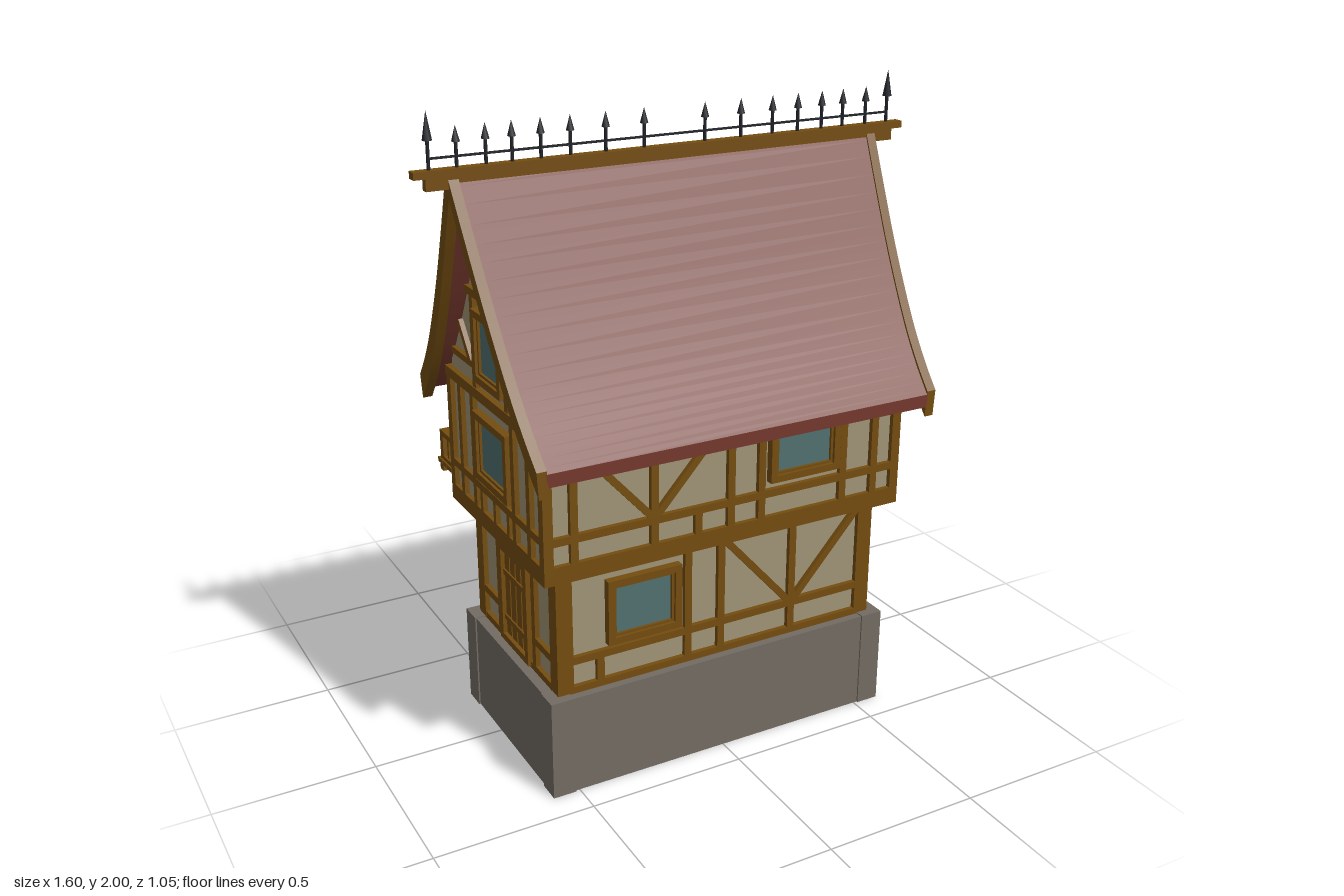
import * as THREE from 'three';
import { toCreasedNormals } from 'three/addons/utils/BufferGeometryUtils.js';

const mat = (name, color) => {
  const m = new THREE.MeshStandardMaterial({ color });
  m.name = name;
  return m;
};

export function createModel() {
  const wood = mat('timber', 0x744d10);
  const plaster = mat('plaster', 0xa09376);
  const stone = mat('stone', 0x736c63);
  const tile = mat('roof tile', 0x75382d);
  const glass = mat('glass', 0x50706f);
  const iron = mat('iron', 0x202227);

  const model = new THREE.Group();
  model.name = 'timberHouse';
  const ZC = 0.08; // depth centre of the house
  const house = new THREE.Group();
  house.name = 'house';
  house.position.z = ZC;
  model.add(house);

  const add = (parent, name, geo, material, x = 0, y = 0, z = 0) => {
    const m = new THREE.Mesh(geo, material);
    m.name = name;
    m.position.set(x, y, z);
    parent.add(m);
    return m;
  };
  const box = (parent, name, material, x0, x1, y0, y1, z0, z1) =>
    add(parent, name, new THREE.BoxGeometry(x1 - x0, y1 - y0, z1 - z0), material,
      (x0 + x1) / 2, (y0 + y1) / 2, (z0 + z1) / 2);

  // Rectangular shell, open at top and bottom
  const rect = (C, w, d) => new C([[-w, -d], [w, -d], [w, d], [-w, d]].map(p => new THREE.Vector2(...p)));
  const shell = (name, material, w, d, t, y0, y1) => {
    const s = rect(THREE.Shape, w, d);
    s.holes.push(rect(THREE.Path, w - t, d - t));
    const g = new THREE.ExtrudeGeometry(s, { depth: y1 - y0, bevelEnabled: false }).rotateX(-Math.PI / 2);
    return add(house, name, g, material, 0, y0, 0);
  };

  // Stone base with corner piers, hollow underneath
  shell('stoneBase', stone, 0.582, 0.325, 0.01, 0, 0.318);
  shell('baseLedge', stone, 0.582, 0.325, 0.07, 0.305, 0.318);
  for (const x of [-1, 1]) for (const z of [-1, 1])
    box(house, 'basePier', stone, x * 0.55 - 0.037, x * 0.55 + 0.037, 0, 0.321, z * 0.293 - 0.037, z * 0.293 + 0.037);

  // Plaster walls of both floors and the jetty between them
  shell('lowerWalls', plaster, 0.535, 0.285, 0.01, 0.31, 0.73);
  shell('upperWalls', plaster, 0.59, 0.335, 0.01, 0.73, 1.15);
  box(house, 'jettyFloor', wood, -0.605, 0.605, 0.715, 0.747, -0.35, 0.35);
  box(house, 'jettyMoulding', wood, -0.57, 0.57, 0.7, 0.716, -0.315, 0.315);
  for (const x of [-1, 1]) for (const z of [-1, 1]) {
    box(house, 'lowerCornerPost', wood, x * 0.525 - 0.026, x * 0.525 + 0.026, 0.318, 0.715, z * 0.275 - 0.025, z * 0.275 + 0.025);
    box(house, 'upperCornerPost', wood, x * 0.59 - 0.015, x * 0.59 + 0.015, 0.74, 1.16, z * 0.335 - 0.015, z * 0.335 + 0.015);
  }

  // A wall face: local x runs along the wall, local z points outwards
  const face = (name, angle, dist) => {
    const turn = new THREE.Group(), g = new THREE.Group();
    turn.rotation.y = angle;
    turn.name = name;
    g.position.z = dist;
    turn.add(g);
    house.add(turn);
    return g;
  };
  const beam = (f, u0, v0, u1, v1, w = 0.024, depth = 0.03) => {
    const m = add(f, 'beam', new THREE.BoxGeometry(Math.hypot(u1 - u0, v1 - v0), w, depth), wood, (u0 + u1) / 2, (v0 + v1) / 2);
    m.rotation.z = Math.atan2(v1 - v0, u1 - u0);
  };
  const posts = (f, us, v0, v1, w) => us.forEach(u => beam(f, u, v0, u, v1, w));
  const frame = (f, u0, u1, v0, v1, t, depth) => {
    for (const v of [v0 + t / 2, v1 - t / 2]) beam(f, u0, v, u1, v, t, depth);
    for (const u of [u0 + t / 2, u1 - t / 2]) beam(f, u, v0, u, v1, t, depth);
  };
  const windowAt = (f, c, w, v0, v1) => {
    box(f, 'windowPane', glass, c - w / 2 + 0.01, c + w / 2 - 0.01, v0 + 0.01, v1 - 0.01, 0.001, 0.008);
    frame(f, c - w / 2, c + w / 2, v0, v1, 0.022, 0.05);
    frame(f, c - w / 2 + 0.018, c + w / 2 - 0.018, v0 + 0.018, v1 - 0.018, 0.012, 0.032);
  };
  const doorAt = (f, c, w, v0, v1) => {
    box(f, 'doorLeaf', wood, c - w / 2, c + w / 2, v0, v1, 0, 0.008);
    frame(f, c - w / 2 - 0.02, c + w / 2 + 0.02, v0, v1 + 0.02, 0.022, 0.05);
    for (let i = 0; i < 4; i++) beam(f, c + (i - 1.5) * w / 4, v0, c + (i - 1.5) * w / 4, v1, w / 4 - 0.008, 0.025);
    for (const t of [0.25, 0.75]) beam(f, c - w / 2, v0 + (v1 - v0) * t, c + w / 2, v0 + (v1 - v0) * t, 0.018, 0.035);
  };

  // Long walls: s mirrors the plan so both share the same x layout
  for (const s of [1, -1]) {
    const front = s === 1, name = front ? 'front' : 'back';
    const lo = face(name + 'LowerFrame', front ? 0 : Math.PI, 0.285);
    for (const v of [0.328, 0.425, 0.7]) beam(lo, -0.53, v, 0.53, v);
    posts(lo, [-0.115 * s, 0, 0.255 * s], 0.33, 0.71);
    posts(lo, [-0.41 * s], 0.33, front ? 0.425 : 0.71);
    beam(lo, 0.01 * s, 0.7, 0.245 * s, 0.435, 0.022);
    beam(lo, 0.5 * s, 0.7, 0.265 * s, 0.435, 0.022);
    if (front) windowAt(lo, -0.265, 0.245, 0.45, 0.66);
    else windowAt(lo, 0.275, 0.19, 0.45, 0.65);

    const up = face(name + 'UpperFrame', front ? 0 : Math.PI, 0.335);
    for (const v of [0.755, 1.145]) beam(up, -0.59, v, 0.59, v, 0.03);
    posts(up, [-0.51 * s, 0, 0.105 * s, 0.395 * s, 0.51 * s], 0.75, 1.15);
    windowAt(up, 0.253 * s, 0.245, 0.88, 1.095);
    if (front) {
      beam(up, -0.59, 0.845, 0.59, 0.845);
      posts(up, [-0.255], 0.75, 1.15);
      posts(up, [-0.11], 0.75, 0.845);
      beam(up, -0.49, 1.11, -0.265, 0.86, 0.022);
      beam(up, -0.02, 1.11, -0.245, 0.86, 0.022);
    } else {
      beam(up, -0.59, 0.845, 0.16, 0.845);
      beam(up, 0.37, 0.845, 0.59, 0.845);
      posts(up, [0.14, 0.4], 0.75, 1.15);
      doorAt(up, 0.27, 0.16, 0.75, 1.06);
    }
  }

  // Roof profile: distance from the ridge line against height
  const curve = new THREE.SplineCurve([[0, 1.825], [0.09, 1.645], [0.185, 1.465], [0.29, 1.29], [0.37, 1.18], [0.44, 1.1]]
    .map(p => new THREE.Vector2(...p)));
  const profile = curve.getPoints(20);
  const gableEdge = profile.filter(p => p.x < 0.335).map(p => new THREE.Vector2(p.x, p.y - 0.045));
  const mirrored = pts => [...pts].reverse().map(p => new THREE.Vector2(-p.x, p.y)).concat(pts.slice(1));

  // Short walls with gables: right has a king post and arched braces, left a door and gable window
  for (const s of [1, -1]) {
    const right = s === 1, name = right ? 'right' : 'left', a = s * Math.PI / 2;
    const lo = face(name + 'LowerFrame', a, 0.535);
    for (const v of [0.328, 0.7]) beam(lo, -0.28, v, 0.28, v);
    if (right) {
      beam(lo, -0.28, 0.425, 0.28, 0.425);
      posts(lo, [0], 0.33, 0.71);
      for (const k of [-1, 1]) beam(lo, 0.24 * k, 0.695, 0.015 * k, 0.435, 0.022);
    } else {
      for (const k of [-1, 1]) {
        posts(lo, [0.13 * k], 0.33, 0.71);
        beam(lo, 0.13 * k, 0.425, 0.28 * k, 0.425);
      }
      doorAt(lo, 0, 0.17, 0.325, 0.64);
    }

    const up = face(name + 'UpperFrame', a, 0.59);
    beam(up, -0.335, 0.755, 0.335, 0.755, 0.03);
    beam(up, -0.335, 0.848, 0.335, 0.848);
    beam(up, -0.35, 1.145, 0.35, 1.145, 0.032, 0.036);
    posts(up, [-0.25, -0.15, 0.145, 0.25], 0.75, 1.14);
    posts(up, [-0.1, 0, 0.1], 0.75, 0.848, 0.018);
    windowAt(up, 0, 0.245, 0.875, 1.09);

    const shape = new THREE.Shape([new THREE.Vector2(-0.335, 1.14), new THREE.Vector2(0.335, 1.14), ...mirrored(gableEdge).reverse()]);
    add(up, 'gableWall', new THREE.ExtrudeGeometry(shape, { depth: 0.01, bevelEnabled: false }), plaster, 0, 0, -0.01);
    beam(up, -0.16, 1.452, 0.16, 1.452);
    beam(up, -0.1, 1.55, 0.1, 1.55, 0.02);
    beam(up, 0, right ? 1.15 : 1.45, 0, 1.77);
    for (const k of [-1, 1]) {
      posts(up, [0.117 * k], 1.15, 1.45);
      beam(up, 0.117 * k, 1.228, 0.29 * k, 1.228, 0.02);
      beam(up, 0.14 * k, 1.225, 0.23 * k, 1.335, 0.02);
      beam(up, 0.01 * k, 1.65, 0.07 * k, 1.56, 0.016);
      if (right) {
        const arc = new THREE.QuadraticBezierCurve(new THREE.Vector2(0, 1.31), new THREE.Vector2(0.015 * k, 1.4), new THREE.Vector2(0.11 * k, 1.445)).getPoints(6);
        for (let i = 0; i < 6; i++) beam(up, arc[i].x, arc[i].y, arc[i + 1].x, arc[i + 1].y, 0.022);
      }
    }
    if (!right) windowAt(up, 0, 0.2, 1.19, 1.41);
  }

  // Roof bands follow the profile and widen towards the ridge
  const halfWidth = y => 0.63 + (y - 1.1) * 0.062;
  const roofBand = (name, material, top, bottom, xRule) => {
    const pts = mirrored(profile);
    const shape = new THREE.Shape([...pts.map(p => new THREE.Vector2(p.x, p.y + top)),
      ...pts.reverse().map(p => new THREE.Vector2(p.x, p.y - bottom))]);
    const g = new THREE.ExtrudeGeometry(shape, { depth: 1, bevelEnabled: false }).rotateY(Math.PI / 2);
    const p = g.attributes.position;
    for (let i = 0; i < p.count; i++) p.setX(i, xRule(p.getX(i), halfWidth(p.getY(i))));
    add(house, name, toCreasedNormals(g, 0.5), material);
  };
  roofBand('roofTiles', tile, 0, 0.04, (x, h) => (x * 2 - 1) * h);
  roofBand('leftBargeBoard', wood, 0.01, 0.07, (x, h) => -h - 0.027 + x * 0.03);
  roofBand('rightBargeBoard', wood, 0.01, 0.07, (x, h) => h - 0.003 + x * 0.03);
  box(house, 'ridgeCap', wood, -0.8, 0.8, 1.82, 1.841, -0.016, 0.016);
  box(house, 'ridgeBeam', wood, -0.765, 0.765, 1.785, 1.822, -0.012, 0.012);

  // Iron cresting on the ridge
  const cresting = new THREE.Group();
  cresting.name = 'ridgeCresting';
  house.add(cresting);
  box(cresting, 'crestingRail', iron, -0.75, 0.75, 1.868, 1.874, -0.003, 0.003);
  const spikes = [0.1, 0.222, 0.332, 0.422, 0.508, 0.585, 0.67, 0.75];
  for (const k of [-1, 1]) for (const x of spikes) {
    const tall = x === 0.75, top = tall ? 2 : 1.955, tip = tall ? 0.08 : 0.045;
    add(cresting, 'spikeShaft', new THREE.CylinderGeometry(0.005, 0.005, top - tip - 1.83, 6), iron, k * x, (top - tip + 1.83) / 2);
    add(cresting, 'spikeTip', new THREE.ConeGeometry(tall ? 0.014 : 0.012, tip, 6), iron, k * x, top - tip / 2);
  }

  // Balcony on the back wall
  const balcony = new THREE.Group();
  balcony.name = 'balcony';
  model.add(balcony);
  const X0 = -0.555, X1 = -0.04, ZB = -0.53, ZW = -0.25;
  for (let i = 0; i < 7; i++) box(balcony, 'floorPlank', wood, X0, X1, 0.733, 0.748, ZB + i * 0.04, ZB + i * 0.04 + 0.036);
  for (const x of [X0 + 0.05, (X0 + X1) / 2, X1 - 0.05]) {
    box(balcony, 'joist', wood, x - 0.014, x + 0.014, 0.708, 0.734, ZB + 0.02, ZW);
    const arc = new THREE.Shape();
    arc.moveTo(0.22, 0.62);
    arc.lineTo(0.22, 0.71);
    arc.lineTo(0.33, 0.71);
    arc.lineTo(0.33, 0.695);
    arc.quadraticCurveTo(0.245, 0.69, 0.24, 0.62);
    const g = new THREE.ExtrudeGeometry(arc, { depth: 0.026, bevelEnabled: false }).rotateY(Math.PI / 2);
    add(balcony, 'bracket', g, wood, x - 0.013);
  }
  box(balcony, 'edgeBeam', wood, X0, X1, 0.712, 0.734, ZB + 0.02, ZB + 0.045);
  const XL = X0 + 0.018, XR = X1 - 0.018, ZR = -0.505;
  for (const [y0, y1] of [[0.748, 0.762], [0.832, 0.85]]) {
    box(balcony, 'backRail', wood, XL - 0.012, XR + 0.012, y0, y1, ZR - 0.012, ZR + 0.012);
    for (const x of [XL, XR]) box(balcony, 'sideRail', wood, x - 0.012, x + 0.012, y0, y1, ZR, ZW);
  }
  const baluster = (x, z, r) => box(balcony, 'baluster', wood, x - r, x + r, 0.748, 0.84, z - r, z + r);
  for (let i = 0; i <= 12; i++) baluster(XL + (XR - XL) * i / 12, ZR, i % 12 ? 0.006 : 0.012);
  for (const x of [XL, XR]) for (let i = 1; i < 6; i++) baluster(x, ZR + i * 0.041, 0.006);

  return model;
}
